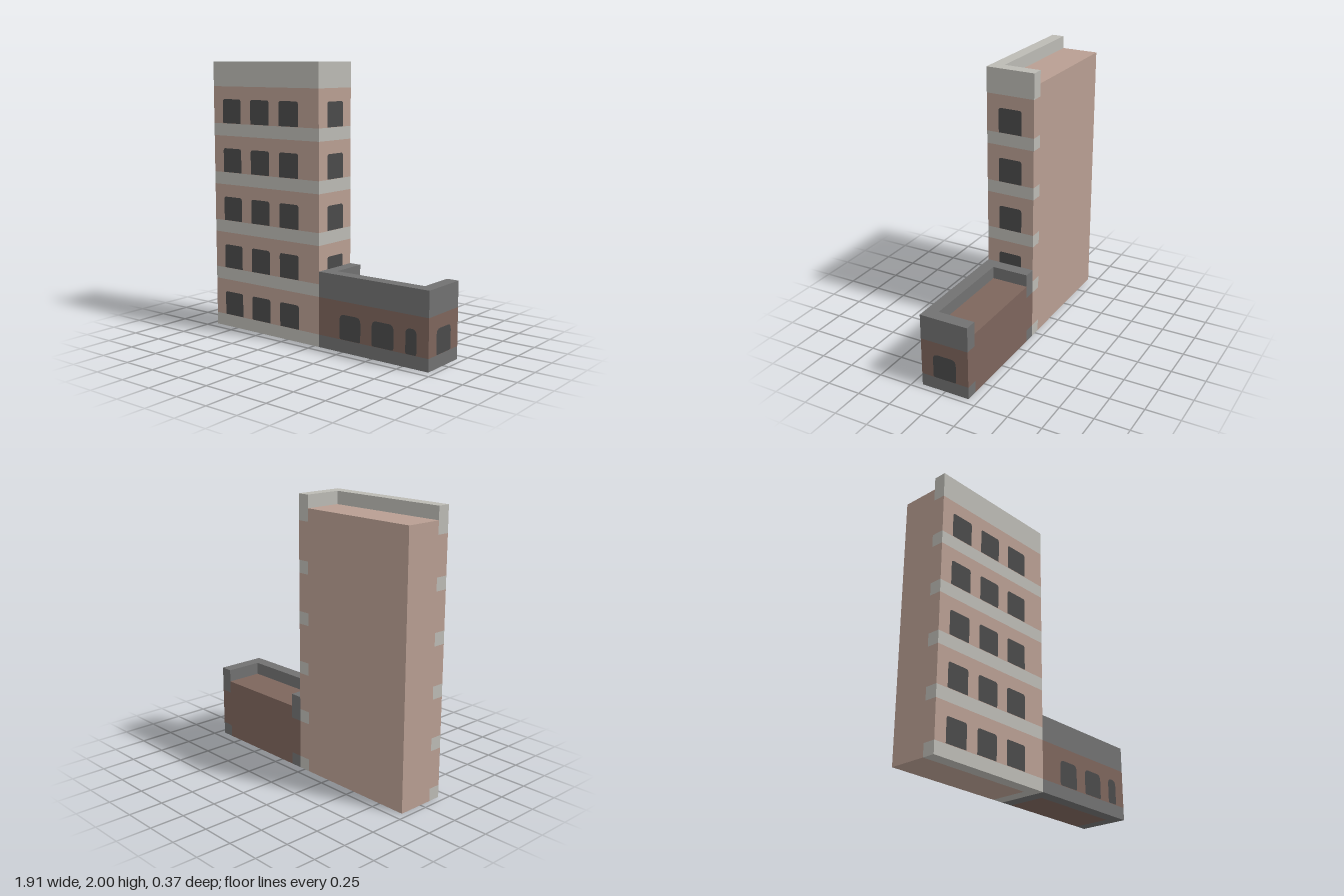
import * as THREE from 'three';

const U = 1 / 11; // building module: 21 wide, 22 high, 4 deep
const mat = (name, color) => {
  const m = new THREE.MeshStandardMaterial({ color });
  m.name = name;
  return m;
};

export function createModel() {
  const root = new THREE.Group();
  root.name = 'cornerBuilding';
  const paleBrick = mat('pale brick', 0xb89e92);
  const paleStone = mat('pale stone', 0xbbbab4);
  const darkBrick = mat('dark brick', 0x7d655c);
  const darkStone = mat('dark stone', 0x717171);
  const glass = mat('window glass', 0x4a4a4a);

  const add = (parent, name, geometry, material) => {
    const mesh = new THREE.Mesh(geometry, material);
    mesh.name = name;
    parent.add(mesh);
    return mesh;
  };

  // Extrude a plan outline (x, -z, in modules) between two heights
  const slab = (outline, y0, y1) => {
    const shape = new THREE.Shape(outline.map(([x, y]) => new THREE.Vector2(x * U, y * U)));
    const g = new THREE.ExtrudeGeometry(shape, { depth: (y1 - y0) * U, bevelEnabled: false });
    return g.rotateX(-Math.PI / 2).translate(0, y0 * U, 0);
  };

  // Window pane with softened corners, lying just proud of a wall
  const pane = (w, h, top, bottom) => {
    const a = w / 2, s = new THREE.Shape();
    s.moveTo(-a + bottom, 0);
    s.lineTo(a - bottom, 0);
    s.quadraticCurveTo(a, 0, a, bottom);
    s.lineTo(a, h - top);
    s.quadraticCurveTo(a, h, a - top, h);
    s.lineTo(-a + top, h);
    s.quadraticCurveTo(-a, h, -a, h - top);
    s.lineTo(-a, bottom);
    s.quadraticCurveTo(-a, 0, -a + bottom, 0);
    return new THREE.ShapeGeometry(s, 5);
  };
  const GAP = 0.002;
  const frontWindow = (parent, x0, x1, y, top, bottom) =>
    add(parent, 'frontWindow', pane((x1 - x0) * U - 0.004, 2 * U - 0.004, top, bottom), glass)
      .position.set((x0 + x1) / 2 * U, y * U + 0.002, 2 * U + GAP);
  const sideWindow = (parent, x, y, top, bottom) => {
    const m = add(parent, 'sideWindow', pane(2 * U - 0.004, 2 * U - 0.004, top, bottom), glass);
    m.rotation.y = Math.PI / 2;
    m.position.set(x * U + GAP, y * U + 0.002, 0);
  };

  // Tower: brick core wrapped on the front and left by banded walls
  const tower = new THREE.Group();
  tower.name = 'tower';
  root.add(tower);
  const wallL = [[-10.5, -2], [0.5, -2], [0.5, 2], [-0.5, 2], [-0.5, -1], [-10.5, -1]];
  const towerCore = [[-10.5, -1], [-0.5, -1], [-0.5, 2], [-10.5, 2]];
  add(tower, 'towerCore', slab(towerCore, 0, 21), paleBrick);
  for (let floor = 0; floor < 5; floor++) {
    const y = floor * 4;
    add(tower, 'stoneBelt', slab(wallL, y, y + 1), paleStone);
    add(tower, 'brickStorey', slab(wallL, y + 1, y + 4), paleBrick);
    for (const x of [-9.5, -6.5, -3.5]) frontWindow(tower, x, x + 2, y + 1, 0.02, 0.004);
    if (floor > 0) sideWindow(tower, 0.5, y + 1, 0.02, 0.004);
  }
  add(tower, 'towerParapet', slab(wallL, 20, 22), paleStone);

  // Low wing: core wrapped on three sides, open at the back
  const wing = new THREE.Group();
  wing.name = 'lowWing';
  root.add(wing);
  const wallU = [[0.5, -2], [10.5, -2], [10.5, 2], [9.5, 2], [9.5, -1], [1.5, -1], [1.5, 2], [0.5, 2]];
  const wingCore = [[1.5, -1], [9.5, -1], [9.5, 2], [1.5, 2]];
  add(wing, 'wingCore', slab(wingCore, 0, 5), darkBrick);
  add(wing, 'wingPlinth', slab(wallU, 0, 1), darkStone);
  add(wing, 'wingStorey', slab(wallU, 1, 4), darkBrick);
  add(wing, 'wingParapet', slab(wallU, 4, 6), darkStone);
  for (const [a, b] of [[2.5, 4.5], [5.5, 7.5], [8.5, 9.5]]) frontWindow(wing, a, b, 1, 0.04, 0.015);
  sideWindow(wing, 10.5, 1, 0.04, 0.015);

  return root;
}
